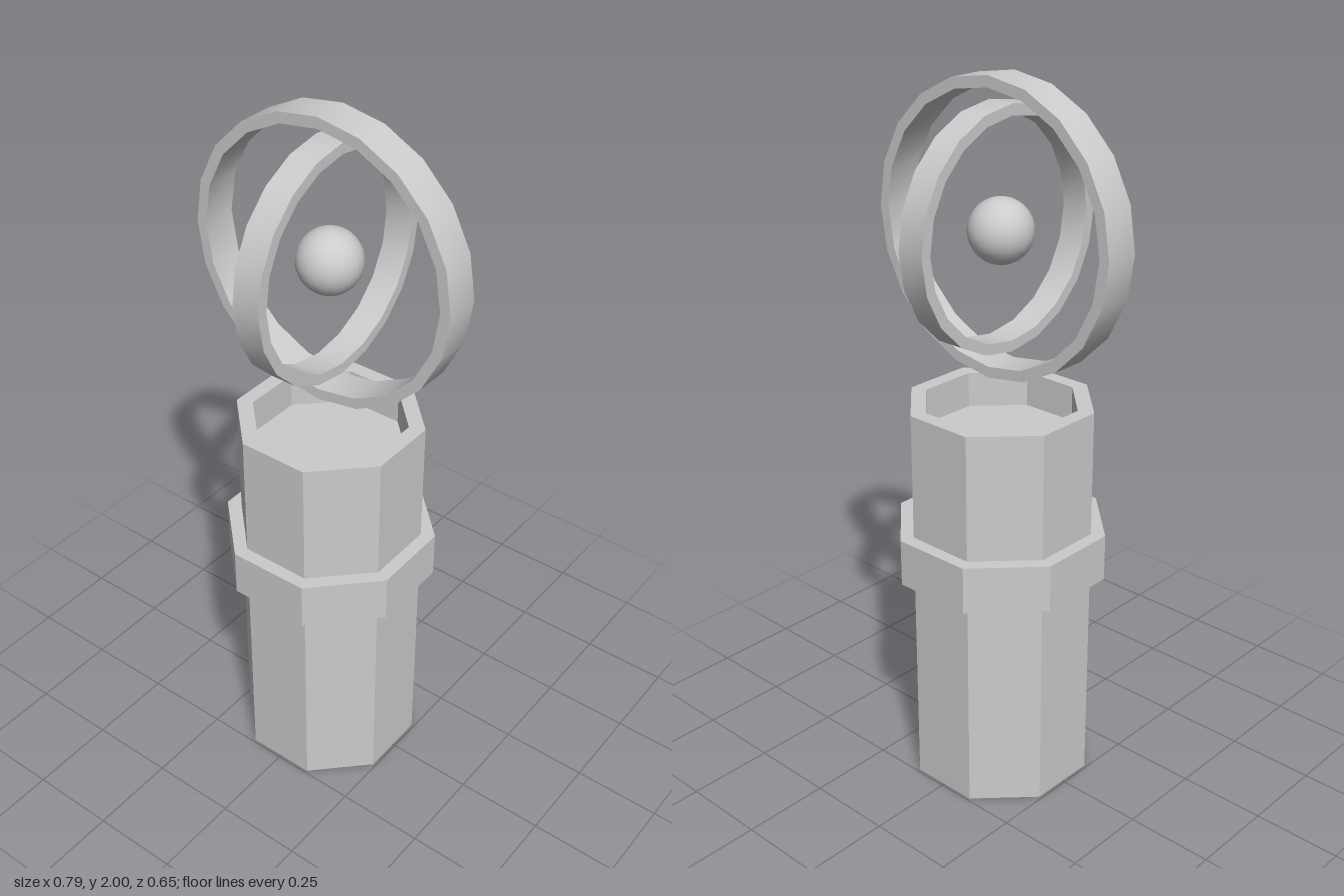
import * as THREE from 'three';
import { toCreasedNormals } from 'three/addons/utils/BufferGeometryUtils.js';

const smooth = new THREE.MeshStandardMaterial({ color: 0xcccccc });
const flat = new THREE.MeshStandardMaterial({ color: 0xcccccc, flatShading: true });

// Octagonal solid turned from a profile, flats facing the axes
function octagon(name, profile) {
  const k = 1 / Math.cos(Math.PI / 8); // flat distance to corner radius
  const points = profile.map(([r, y]) => new THREE.Vector2(r * k, y));
  const mesh = new THREE.Mesh(new THREE.LatheGeometry(points, 8, Math.PI / 8), flat);
  mesh.name = name;
  return mesh;
}

// Flat band bent into a 20-sided hoop around the y axis
function hoop(name, outer, inner, half) {
  const points = [[outer, -half], [outer, half], [inner, half], [inner, -half], [outer, -half]]
    .map(([r, y]) => new THREE.Vector2(r, y));
  const mesh = new THREE.Mesh(toCreasedNormals(new THREE.LatheGeometry(points, 20), 0.6), smooth);
  mesh.name = name;
  mesh.position.y = 1.605;
  return mesh;
}

export function createModel() {
  const group = new THREE.Group();
  group.name = 'ringedPedestal';

  // Column with a shallow recess in its top
  const column = octagon('column',
    [[0, 0], [0.242, 0], [0.242, 1.13], [0.2, 1.13], [0.2, 1.03], [0, 1.03]]);

  // Collar around the column, turned very slightly
  const collar = octagon('collar',
    [[0.235, 0.635], [0.279, 0.635], [0.279, 0.77], [0.235, 0.77]]);
  collar.rotation.y = 0.012;

  // Two crossed upright hoops
  const outerRing = hoop('outerRing', 0.395, 0.365, 0.05);
  outerRing.rotation.x = Math.PI / 2;
  const innerRing = hoop('innerRing', 0.325, 0.295, 0.04);
  innerRing.rotation.z = Math.PI / 2;

  // Floating core
  const core = new THREE.Mesh(new THREE.SphereGeometry(0.088, 24, 16), smooth);
  core.name = 'core';
  core.position.y = 1.6;

  group.add(column, collar, outerRing, innerRing, core);
  return group;
}
